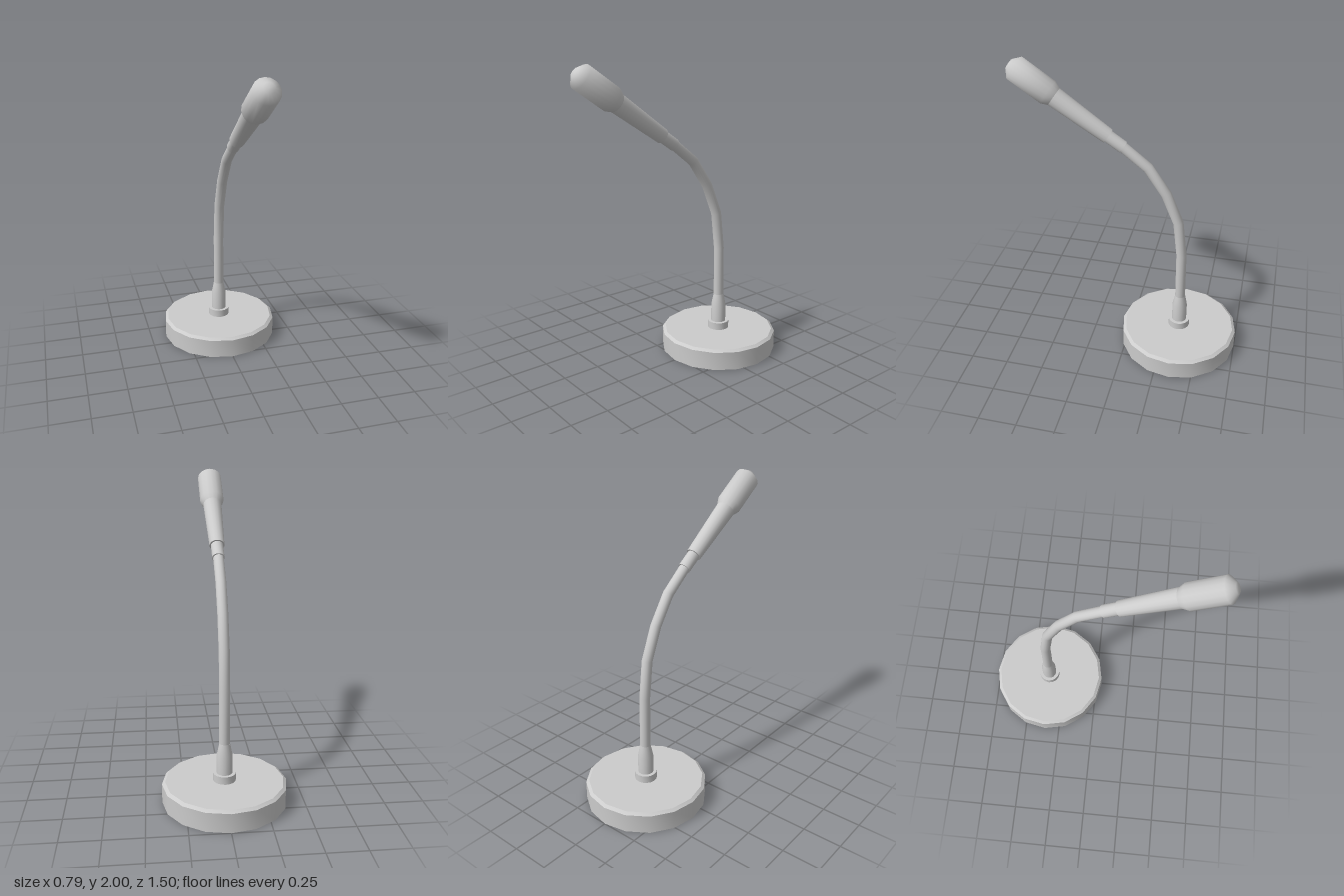
import * as THREE from 'three';
import { toCreasedNormals } from 'three/addons/utils/BufferGeometryUtils.js';

const SIDES = 16;
const STEM_Z = -0.355;
const material = new THREE.MeshStandardMaterial({ color: 0xcccccc });

function addMesh(group, name, geometry, crease) {
  const mesh = new THREE.Mesh(toCreasedNormals(geometry, crease), material);
  mesh.name = name;
  group.add(mesh);
  return mesh;
}

// Round part from [radius, height] pairs, listed bottom to top
function turned(profile) {
  return new THREE.LatheGeometry(profile.map(([r, y]) => new THREE.Vector2(r, y)), SIDES);
}

// Round bar following [z, y] points, with mitred joints
function bentBar(path, radius) {
  const pts = path.map(([z, y]) => new THREE.Vector3(0, y, z));
  const last = pts.length - 1;
  const geometry = new THREE.CylinderGeometry(1, 1, 1, SIDES, last, true);
  const pos = geometry.attributes.position;
  for (let i = 0; i < pos.count; i++) {
    const k = Math.round((pos.getY(i) + 0.5) * last);
    const before = pts[k].clone().sub(pts[Math.max(k - 1, 0)]).normalize();
    const after = pts[Math.min(k + 1, last)].clone().sub(pts[k]).normalize();
    const along = before.add(after).normalize();
    const s = pos.getZ(i) * radius;
    pos.setXYZ(i, pos.getX(i) * radius, pts[k].y - along.z * s, pts[k].z + along.y * s);
  }
  return geometry;
}

export function createModel() {
  const model = new THREE.Group();
  model.name = 'gooseneckMicrophone';

  // Round foot with a small bevel on its upper rim
  const stand = new THREE.Group();
  stand.name = 'stand';
  stand.position.z = STEM_Z;
  model.add(stand);
  addMesh(stand, 'base', turned([[0, 0], [0.395, 0], [0.395, 0.125], [0.375, 0.14], [0, 0.14]]), 0.6);
  addMesh(stand, 'baseCollar', turned([[0, 0.135], [0.072, 0.135], [0.072, 0.19], [0, 0.19]]), 0.6);
  addMesh(stand, 'stemSleeve', turned([[0.05, 0.185], [0.05, 0.31], [0.034, 0.39], [0, 0.39]]), 0.6);

  // Flexible neck
  const neck = [
    [STEM_Z, 0.36], [STEM_Z + 0.005, 0.73], [-0.32, 0.98],
    [-0.235, 1.185], [-0.115, 1.36], [0.06, 1.498],
  ];
  addMesh(model, 'neck', bentBar(neck, 0.034), 0.6);

  // Tilted microphone: y runs along its length from the handle's lower end
  const microphone = new THREE.Group();
  microphone.name = 'microphone';
  microphone.position.set(0, 1.548, 0.135);
  microphone.rotation.x = Math.atan2(0.565, 0.387);
  model.add(microphone);
  addMesh(microphone, 'neckFerrule',
    turned([[0, -0.114], [0.04, -0.114], [0.04, 0.01], [0, 0.01]]), 0.6);
  addMesh(microphone, 'handle',
    turned([[0, 0], [0.049, 0], [0.062, 0.4]]), 0.6);
  addMesh(microphone, 'head',
    turned([[0.062, 0.4], [0.081, 0.444], [0.081, 0.685], [0.033, 0.726], [0, 0.728]]), 1.0);

  return model;
}
